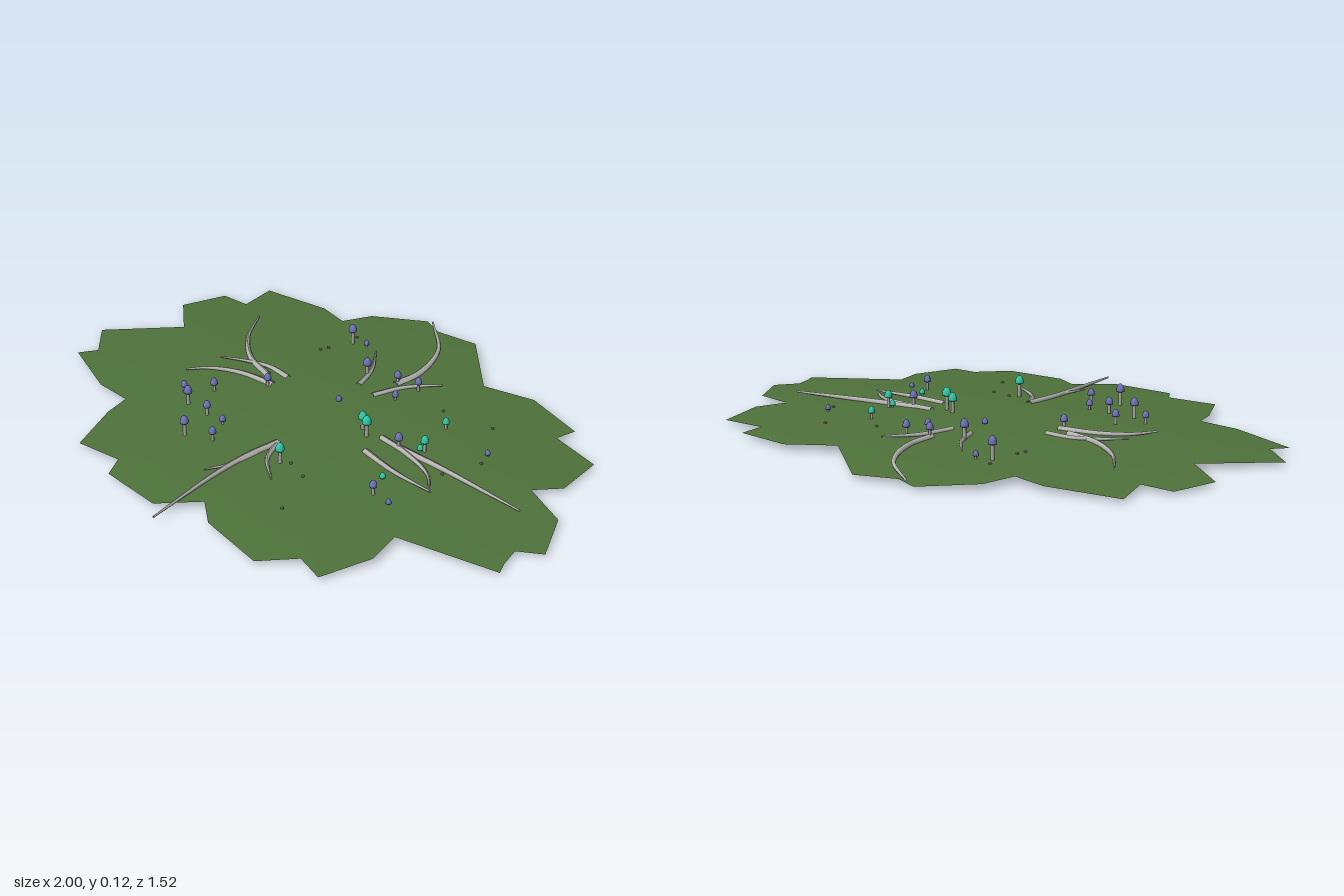
import * as THREE from 'three';

const mat = (name, color, side = THREE.FrontSide) => {
  const m = new THREE.MeshStandardMaterial({ color, side });
  m.name = name;
  return m;
};

// Height of the gently domed moss at any spot
const mossY = (x, z) => 0.044 - 0.033 * Math.min(1, x * x + 1.5 * z * z);

// Ragged rim of the moss patch, as x, z pairs
const RIM = [
  [-0.01, -0.76], [0.22, -0.56], [0.39, -0.63], [0.61, -0.59], [0.6, -0.51], [0.78, -0.49], [0.81, -0.31],
  [0.75, -0.22], [0.91, -0.17], [1, -0.01], [0.93, 0.05], [0.95, 0.12], [0.97, 0.16], [0.64, 0.28],
  [0.67, 0.4], [0.62, 0.58], [0.52, 0.56], [0.43, 0.67], [0.19, 0.65], [0.1, 0.59], [-0.01, 0.71],
  [-0.24, 0.71], [-0.28, 0.64], [-0.45, 0.67], [-0.53, 0.49], [-0.55, 0.4], [-0.69, 0.4], [-0.93, 0.32],
  [-0.89, 0.26], [-1, 0.16], [-0.8, -0.06], [-0.94, -0.17], [-0.89, -0.33], [-0.78, -0.34], [-0.81, -0.48],
  [-0.56, -0.53], [-0.44, -0.51], [-0.4, -0.62], [-0.24, -0.75], [-0.16, -0.72],
];

// Roots: base radius, then x, z points from base to tip
const ROOTS = [
  [0.013, [0.02, -0.33], [0.02, -0.45], [-0.05, -0.61], [-0.21, -0.745]],
  [0.011, [0.02, -0.22], [0.06, -0.34], [0.14, -0.44]],
  [0.011, [-0.06, -0.23], [-0.1, -0.33], [-0.18, -0.43]],
  [0.013, [-0.32, -0.045], [-0.45, -0.08], [-0.57, -0.17], [-0.66, -0.3]],
  [0.011, [-0.26, -0.085], [-0.36, -0.085], [-0.44, -0.05], [-0.52, 0]],
  [0.013, [-0.26, -0.015], [-0.4, 0.015], [-0.49, 0.07], [-0.54, 0.14]],
  [0.012, [0.23, -0.06], [0.34, -0.055], [0.48, -0.02], [0.56, 0.05]],
  [0.013, [0.3, -0.06], [0.5, -0.08], [0.81, -0.1]],
  [0.012, [0.25, 0.035], [0.4, 0.05], [0.56, 0.045]],
  [0.013, [0.02, 0.21], [0.01, 0.35], [0.02, 0.5], [0.055, 0.76]],
  [0.011, [0.02, 0.21], [0.07, 0.3], [0.17, 0.37]],
  [0.01, [0.015, 0.3], [0.01, 0.4], [-0.02, 0.49]],
];

// Mushrooms: x, z, height of the cap top
const VIOLET = [
  [-0.29, -0.42, 0.11], [-0.24, -0.44, 0.06], [-0.09, -0.3, 0.11], [0.02, -0.34, 0.09], [0.1, -0.36, 0.09],
  [0.09, -0.26, 0.075], [0.31, -0.06, 0.1], [-0.03, -0.11, 0.065], [-0.27, 0, 0.09], [-0.37, 0.155, 0.09],
  [-0.44, 0.23, 0.08], [-0.37, 0.27, 0.108], [-0.27, 0.27, 0.095], [-0.19, 0.27, 0.075], [-0.14, 0.355, 0.09],
  [-0.23, 0.4, 0.11], [0.44, 0.18, 0.09], [0.53, -0.25, 0.055], [0.51, 0.18, 0.055],
];
const TEAL = [
  [0.15, -0.05, 0.112], [0.19, -0.03, 0.122], [0.11, 0.28, 0.115], [0.38, -0.11, 0.1],
  [0.4, 0.1, 0.062], [0.33, -0.26, 0.08], [0.37, -0.1, 0.065],
];
const PEBBLES = [
  [0.3, 0.44], [-0.33, -0.3], [0.43, -0.38], [0.22, 0.28], [-0.31, -0.46],
  [0.55, -0.2], [0.14, 0.26], [0.51, -0.06], [-0.32, -0.33], [0.25, -0.33],
];

// Concentric copies of the rim, draped on the dome
function mossGeometry(rings = 10) {
  const n = RIM.length, pos = [0, mossY(0, 0), 0], idx = [];
  for (let r = 1; r <= rings; r++)
    for (const [x, z] of RIM) {
      const t = r / rings;
      pos.push(x * t, mossY(x * t, z * t), z * t);
    }
  for (let i = 0; i < n; i++) {
    const j = (i + 1) % n;
    idx.push(0, 1 + j, 1 + i);
    for (let r = 0; r < rings - 1; r++) {
      const a = 1 + r * n + i, b = 1 + r * n + j;
      idx.push(a, b, a + n, b, b + n, a + n);
    }
  }
  const g = new THREE.BufferGeometry();
  g.setAttribute('position', new THREE.Float32BufferAttribute(pos, 3));
  g.setIndex(idx);
  g.computeVertexNormals();
  return g;
}

// Tube whose rings shrink towards the tip
function rootGeometry(radius, points) {
  const last = points.length - 1, segs = 24, sides = 8;
  const curve = new THREE.CatmullRomCurve3(points.map(([x, z], i) =>
    new THREE.Vector3(x, mossY(x, z) - 0.002 + 0.012 * i / last, z)));
  const g = new THREE.TubeGeometry(curve, segs, radius, sides);
  const p = g.attributes.position, v = new THREE.Vector3();
  for (let i = 0; i < p.count; i++) {
    const t = Math.floor(i / (sides + 1)) / segs;
    const c = curve.getPointAt(t);
    v.fromBufferAttribute(p, i).sub(c).multiplyScalar(1 - 0.75 * t).add(c);
    p.setXYZ(i, v.x, v.y, v.z);
  }
  g.computeVertexNormals();
  return g;
}

export function createModel() {
  const model = new THREE.Group();
  const moss = mat('moss green', 0x4f733b, THREE.DoubleSide);
  const bark = mat('pale grey bark', 0xb4b2b0, THREE.DoubleSide);
  const stalk = mat('stalk grey', 0xa8a8a2);
  const violet = mat('violet cap', 0x6c70b8, THREE.DoubleSide);
  const teal = mat('teal cap', 0x2fc4a4, THREE.DoubleSide);
  const stone = mat('pebble brown', 0x8a8472);

  const add = (parent, name, geometry, material, x = 0, y = 0, z = 0) => {
    const m = new THREE.Mesh(geometry, material);
    m.name = name;
    m.position.set(x, y, z);
    parent.add(m);
    return m;
  };

  add(model, 'mossPatch', mossGeometry(), moss);
  for (const [radius, ...points] of ROOTS) add(model, 'root', rootGeometry(radius, points), bark);

  // Bell-shaped cap with a closed underside, one unit in radius
  const capGeo = new THREE.LatheGeometry(
    [[0, 0], [0.95, 0], [1, 0.25], [0.9, 0.9], [0.6, 1.5], [0.25, 1.8], [0, 1.85]].map(([x, y]) => new THREE.Vector2(x, y)), 10);

  const mushroom = (x, z, top, material) => {
    const g = new THREE.Group();
    g.name = 'mushroom';
    g.position.set(x, 0, z);
    const r = 0.004 + 0.1 * top, h = top - 1.85 * r;
    add(g, 'stalk', new THREE.CylinderGeometry(r * 0.38, r * 0.5, h, 8), stalk, 0, h / 2, 0);
    add(g, 'cap', capGeo, material, 0, h, 0).scale.setScalar(r);
    model.add(g);
  };
  for (const [x, z, top] of VIOLET) mushroom(x, z, top, violet);
  for (const [x, z, top] of TEAL) mushroom(x, z, top, teal);

  // Tiny pebbles scattered on the moss
  const pebbleGeo = new THREE.IcosahedronGeometry(0.006, 0);
  for (const [x, z] of PEBBLES) add(model, 'pebble', pebbleGeo, stone, x, mossY(x, z) + 0.002, z);

  return model;
}
